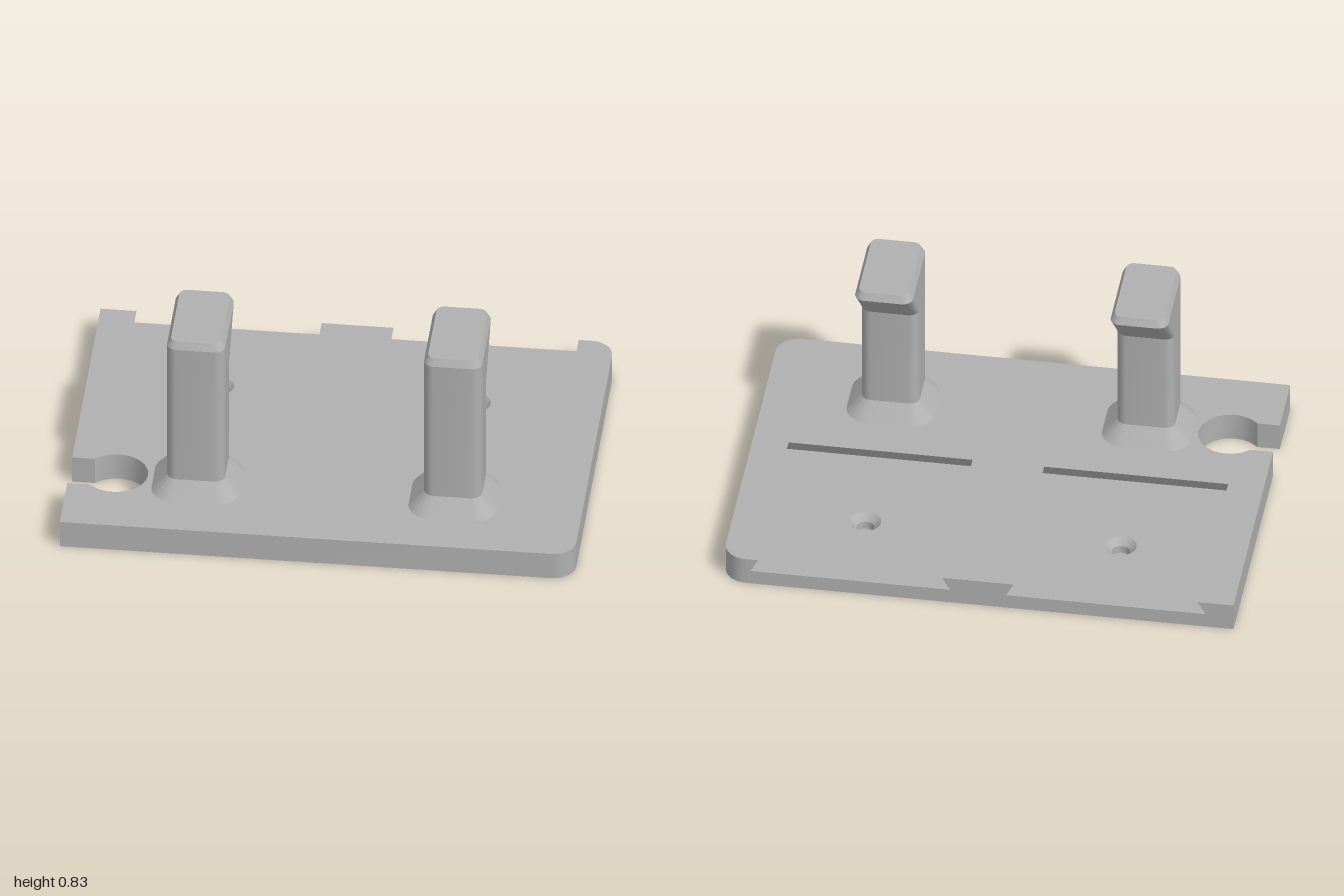
import * as THREE from 'three';
import { mergeGeometries, toCreasedNormals } from 'three/addons/utils/BufferGeometryUtils.js';

const T = 0.115, FLOOR = 0.06, BACK = -0.71; // plate thickness, recess floor height, back edge
const UNDER = 0.03;                          // dovetail undercut
const CENTRES = [0.5, -0.5];

const grey = new THREE.MeshStandardMaterial({ color: 0xb0b0b0, side: THREE.DoubleSide });
grey.name = 'grey plastic';

// Flip the winding and normals of an indexed flat face
function flip(geo) {
  geo.setIndex(Array.from(geo.index.array).reverse());
  geo.computeVertexNormals();
  return geo;
}

// Horizontal face from a shape drawn in (x, z)
function cap(shape, y, up) {
  const geo = new THREE.ShapeGeometry(shape, 8).rotateX(Math.PI / 2).translate(0, y, 0);
  return clean(up ? flip(geo) : geo);
}

function clean(geo) {
  const g = geo.index ? geo.toNonIndexed() : geo;
  g.deleteAttribute('uv');
  return g;
}

// Wall through a stack of levels, each { y, pts } with matching points in (x, z)
function wall(levels) {
  const pos = [];
  for (let k = 0; k < levels.length - 1; k++) {
    const a = levels[k], b = levels[k + 1];
    for (let i = 0; i < a.pts.length - 1; i++) {
      const at = (l, j) => [l.pts[j].x, l.y, l.pts[j].y];
      pos.push(...at(a, i), ...at(a, i + 1), ...at(b, i + 1));
      pos.push(...at(a, i), ...at(b, i + 1), ...at(b, i));
    }
  }
  const geo = new THREE.BufferGeometry();
  geo.setAttribute('position', new THREE.Float32BufferAttribute(pos, 3));
  geo.computeVertexNormals();
  return toCreasedNormals(geo, 0.4);
}

// Three sides of a recess, open to the back
function recessPath(cx, grow) {
  const w = 0.36 + grow, z = 0.05 + grow;
  return [[cx + w, BACK], [cx + w, z], [cx - w, z], [cx - w, BACK]].map(p => new THREE.Vector2(...p));
}

// Plate outline with key slot and two rounded corners
function outline() {
  const s = new THREE.Shape(), a = Math.PI - Math.asin(0.085 / 0.125);
  s.moveTo(-1, BACK).lineTo(-1, 0.28);
  s.absarc(-0.82, 0.365, 0.125, -a, a, false);
  s.lineTo(-1, 0.45).lineTo(-1, 0.71);
  s.absarc(0.91, 0.62, 0.09, Math.PI / 2, 0, true);
  s.absarc(0.91, -0.62, 0.09, 0, -Math.PI / 2, true);
  return s;
}

function drill(shape, x, r) {
  shape.holes.push(new THREE.Path().absarc(x, -0.33, r, 0, Math.PI * 2, true));
}

function plateGeometry() {
  const parts = [];
  const edge = outline().getPoints(8);
  parts.push(wall([{ y: 0, pts: edge }, { y: T, pts: edge }]));

  // Underside, top, and the back face with its dovetail openings
  const bottom = outline(), top = outline(), back = new THREE.Shape();
  back.moveTo(-1, 0).lineTo(0.91, 0).lineTo(0.91, T);
  for (const x of CENTRES) {
    drill(bottom, x, 0.035);
    recessPath(x, 0).forEach(p => top.lineTo(p.x, p.y));
    back.lineTo(x + 0.36, T).lineTo(x + 0.36 + UNDER, FLOOR);
    back.lineTo(x - 0.36 - UNDER, FLOOR).lineTo(x - 0.36, T);
  }
  back.lineTo(-1, T);
  parts.push(cap(bottom, 0, false), cap(top, T, true));
  parts.push(clean(flip(new THREE.ShapeGeometry(back).translate(0, 0, BACK))));

  // Recess floors, undercut walls and countersunk holes
  for (const x of CENTRES) {
    const wide = recessPath(x, UNDER);
    const floor = new THREE.Shape(wide);
    drill(floor, x, 0.062);
    parts.push(cap(floor, FLOOR, true));
    parts.push(wall([{ y: FLOOR, pts: wide }, { y: T, pts: recessPath(x, 0) }]));
    const ring = r => new THREE.Path().absarc(x, -0.33, r, 0, Math.PI * 2, false).getPoints(16);
    parts.push(wall([
      { y: 0, pts: ring(0.035) }, { y: 0.032, pts: ring(0.035) }, { y: FLOOR, pts: ring(0.062) },
    ]));
  }
  return mergeGeometries(parts);
}

// Rounded rectangle in (x, z), running so that walls face outwards
function section(w, z0, z1, r) {
  const s = new THREE.Shape(), q = Math.PI / 2;
  s.absarc(w - r, z1 - r, r, q, 0, true);
  s.absarc(w - r, z0 + r, r, 0, -q, true);
  s.absarc(-w + r, z0 + r, r, -q, -2 * q, true);
  s.absarc(-w + r, z1 - r, r, 2 * q, q, true);
  s.closePath();
  return s;
}

// Post with flared foot, backward-leaning lip and chamfered top
function hookGeometry() {
  const levels = [
    [0.115, 0.173, 0.22, 0.53, 0.09],
    [0.185, 0.113, 0.275, 0.475, 0.04],
    [0.615, 0.113, 0.275, 0.475, 0.04],
    [0.8, 0.113, 0.1, 0.475, 0.04],
    [0.83, 0.098, 0.115, 0.46, 0.03],
  ].map(([y, ...s]) => ({ y, pts: section(...s).getPoints(6) }));
  return mergeGeometries([wall(levels), cap(section(0.098, 0.115, 0.46, 0.03), 0.83, true)]);
}

export function createModel() {
  const group = new THREE.Group();
  group.name = 'hookPlate';

  const plate = new THREE.Mesh(plateGeometry(), grey);
  plate.name = 'basePlate';
  group.add(plate);

  const hookGeo = hookGeometry();
  CENTRES.forEach((x, i) => {
    const hook = new THREE.Mesh(hookGeo, grey);
    hook.name = i ? 'rightHook' : 'leftHook';
    hook.position.x = x;
    group.add(hook);
  });
  return group;
}
